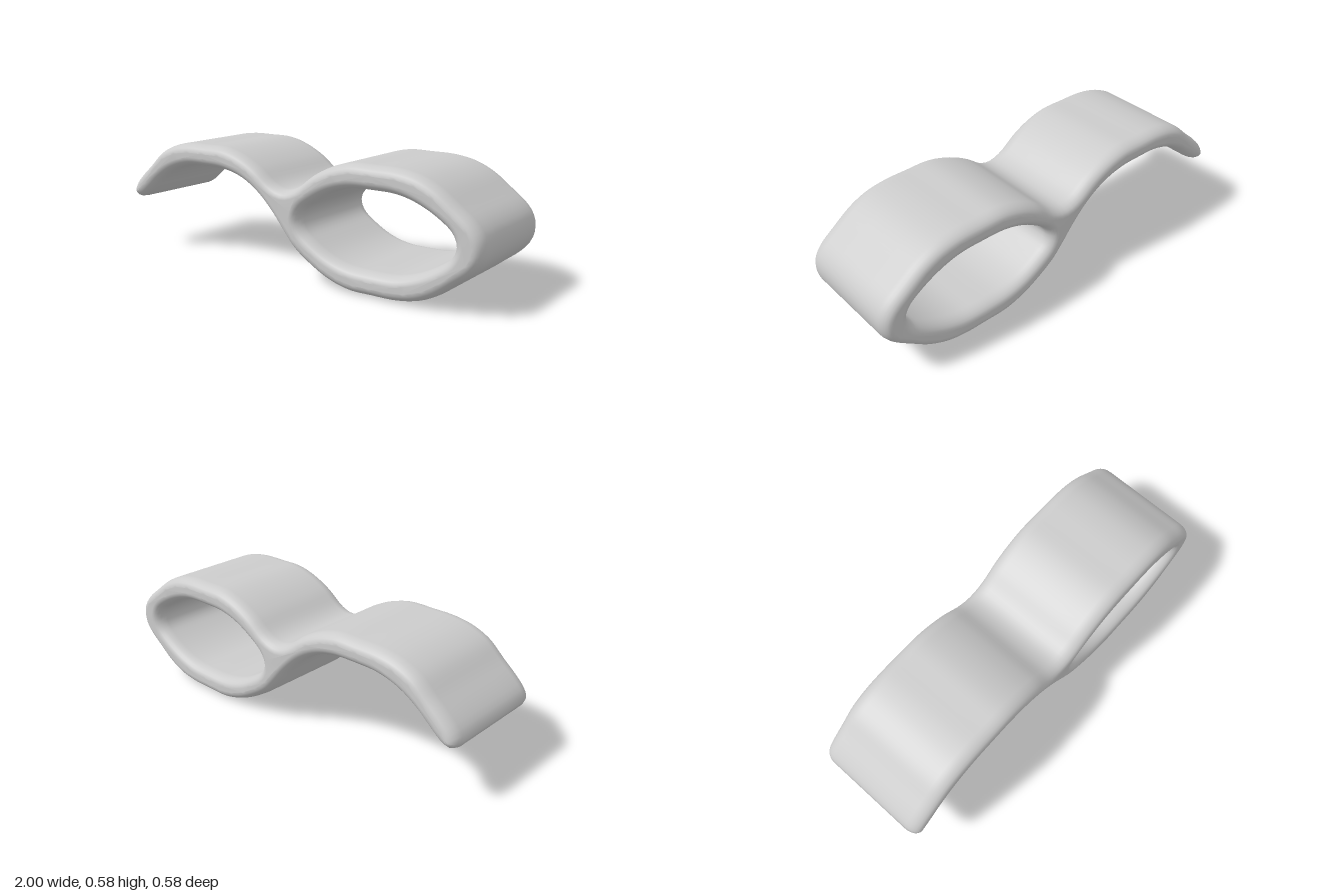
import * as THREE from 'three';
import { mergeVertices } from 'three/addons/utils/BufferGeometryUtils.js';

const MID = 0.2875; // height of the loop's mirror line

// Smooth closed outline through a few [x, y] points
function smoothLoop(points, count) {
  const curve = new THREE.CatmullRomCurve3(points.map(([x, y]) => new THREE.Vector3(x, y, 0)), true);
  return curve.getSpacedPoints(count).slice(0, count).map((p) => new THREE.Vector2(p.x, p.y));
}

const flipY = ([x, y]) => [x, 2 * MID - y];

export function createModel() {
  const grey = new THREE.MeshStandardMaterial({ color: 0xcccccc });
  grey.name = 'plainGrey';

  // Upper edge of the open arch, from its free tip to the neck
  const archTop = [[-1, 0.295], [-0.985, 0.335], [-0.945, 0.38], [-0.87, 0.445], [-0.79, 0.515],
    [-0.7, 0.555], [-0.6, 0.573], [-0.48, 0.575], [-0.36, 0.573], [-0.255, 0.545], [-0.16, 0.498],
    [-0.065, 0.43], [0, 0.412]];
  // Upper edge of the closed loop; its lower edge is the mirror image
  const loopTop = [[0.065, 0.43], [0.16, 0.498], [0.255, 0.545], [0.36, 0.573], [0.48, 0.575],
    [0.6, 0.573], [0.7, 0.555], [0.79, 0.515], [0.88, 0.45], [0.955, 0.39], [0.99, 0.34]];
  const loopBottom = loopTop.slice(1).reverse().map(flipY);
  // Underside of the neck and the arch, back to the tip
  const archUnder = [[0.06, 0.145], [0, 0.21], [-0.07, 0.295], [-0.16, 0.38], [-0.255, 0.435],
    [-0.36, 0.463], [-0.48, 0.468], [-0.6, 0.463], [-0.71, 0.43], [-0.8, 0.375], [-0.87, 0.315],
    [-0.925, 0.273], [-0.965, 0.26], [-0.99, 0.272]];
  const outline = [...archTop, ...loopTop, [1, MID], ...loopBottom, ...archUnder];

  // Almond-shaped opening, wound against the outline
  const holeTop = [[0.105, 0.335], [0.17, 0.385], [0.26, 0.433], [0.36, 0.46], [0.48, 0.465],
    [0.6, 0.46], [0.7, 0.432], [0.8, 0.38], [0.855, 0.335]];
  const hole = [[0.085, MID], ...holeTop.map(flipY), [0.872, MID], ...holeTop.slice().reverse()];

  const shape = new THREE.Shape(smoothLoop(outline, 180));
  shape.holes.push(new THREE.Path(smoothLoop(hole, 90)));

  // Wide band with softly rounded side edges
  const edge = 0.065;
  const depth = 0.576 - 2 * edge;
  let band = new THREE.ExtrudeGeometry(shape, {
    depth, steps: 4, bevelEnabled: true, bevelThickness: edge,
    bevelSize: 0.042, bevelOffset: -0.042, bevelSegments: 6,
  });
  band.translate(0, 0, -depth / 2);
  band.deleteAttribute('normal');
  band.deleteAttribute('uv');
  band = mergeVertices(band, 1e-5);
  band.computeVertexNormals();

  const mesh = new THREE.Mesh(band, grey);
  mesh.name = 'curvedBand';
  const group = new THREE.Group();
  group.name = 'loopedBand';
  group.add(mesh);
  return group;
}
